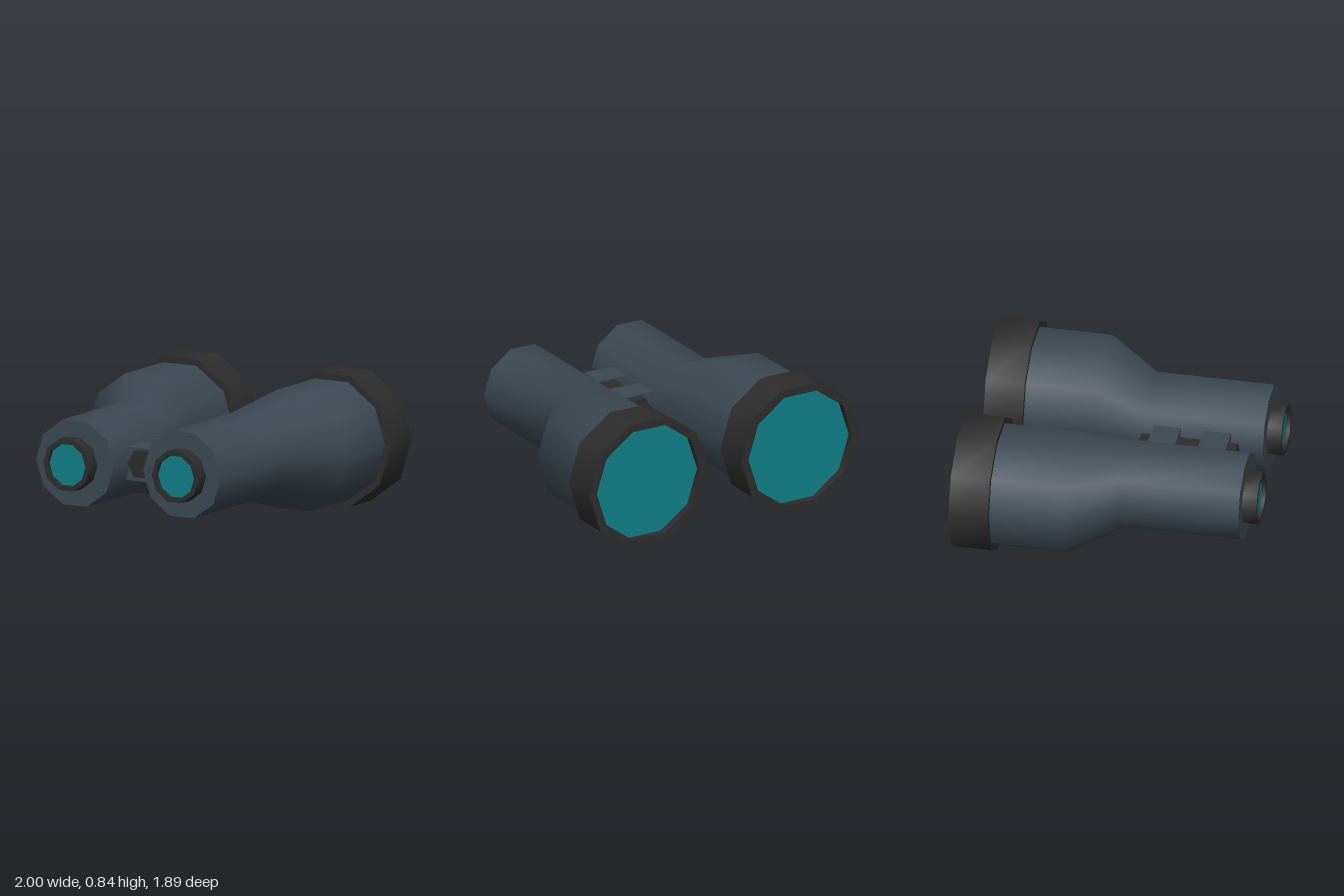
import * as THREE from 'three';
import { toCreasedNormals } from 'three/addons/utils/BufferGeometryUtils.js';

const mat = (name, color) => new THREE.MeshStandardMaterial({ name, color });

const SIDES = 10;
const AXIS_Y = 0.418;

// Ten-sided turned part along z; profile is [radius, z], shiftX moves each section sideways
function turned(profile, shiftX) {
  const points = profile.map(([r, z]) => new THREE.Vector2(r, z));
  const geo = new THREE.LatheGeometry(points, SIDES, Math.PI / 2);
  geo.rotateX(Math.PI / 2);
  const p = geo.attributes.position;
  for (let i = 0; i < p.count; i++) p.setX(i, p.getX(i) + shiftX(p.getZ(i)));
  return toCreasedNormals(geo, 0.9);
}

export function createModel() {
  const shell = mat('slate blue shell', 0x3c4852);
  const rubber = mat('black rubber', 0x2d2d2d);
  const glass = mat('teal glass', 0x107f89);

  const model = new THREE.Group();
  model.name = 'binoculars';

  function add(parent, name, geo, material, x = 0, y = 0, z = 0) {
    const mesh = new THREE.Mesh(geo, material);
    mesh.name = name;
    mesh.position.set(x, y, z);
    parent.add(mesh);
    return mesh;
  }

  for (const side of [-1, 1]) {
    const barrel = new THREE.Group();
    barrel.name = side > 0 ? 'leftBarrel' : 'rightBarrel';
    barrel.position.y = AXIS_Y;
    model.add(barrel);

    // Barrel body: narrow front, offset taper, wide rear
    const offset = (z) => side * THREE.MathUtils.mapLinear(
      THREE.MathUtils.clamp(z, -0.237, 0.09), -0.237, 0.09, 0.558, 0.394);
    add(barrel, 'barrelBody', turned(
      [[0.398, -0.88], [0.398, -0.237], [0.286, 0.09], [0.286, 0.853], [0.13, 0.853]],
      offset), shell);

    // Rear objective rim with recessed lens
    add(barrel, 'objectiveRim', turned(
      [[0.385, -0.9], [0.385, -0.948], [0.44, -0.948], [0.44, -0.696], [0.385, -0.696]],
      () => side * 0.56), rubber);
    const objective = add(barrel, 'objectiveLens',
      new THREE.CircleGeometry(0.39, SIDES), glass, side * 0.56, 0, -0.9);
    objective.rotation.y = Math.PI;

    // Front eyepiece ring with recessed lens
    add(barrel, 'eyepieceRing', turned(
      [[0.172, 0.85], [0.172, 0.947], [0.14, 0.947], [0.14, 0.92]],
      () => side * 0.4), rubber);
    add(barrel, 'eyepieceLens',
      new THREE.CircleGeometry(0.142, SIDES), glass, side * 0.4, 0, 0.92);
  }

  // Central hinge pin
  const pin = new THREE.CylinderGeometry(0.098, 0.098, 0.62, 6, 1, false, Math.PI / 2);
  pin.rotateX(Math.PI / 2);
  add(model, 'hingePin', toCreasedNormals(pin, 0.9), rubber, 0, 0.422, 0.395);

  // Paired bridge plates above and below the pin
  for (const z of [0.233, 0.557]) {
    for (const y of [0.343, 0.475]) {
      add(model, 'bridgePlate', new THREE.BoxGeometry(0.276, 0.083, 0.176), shell, 0, y, z);
    }
  }

  return model;
}
